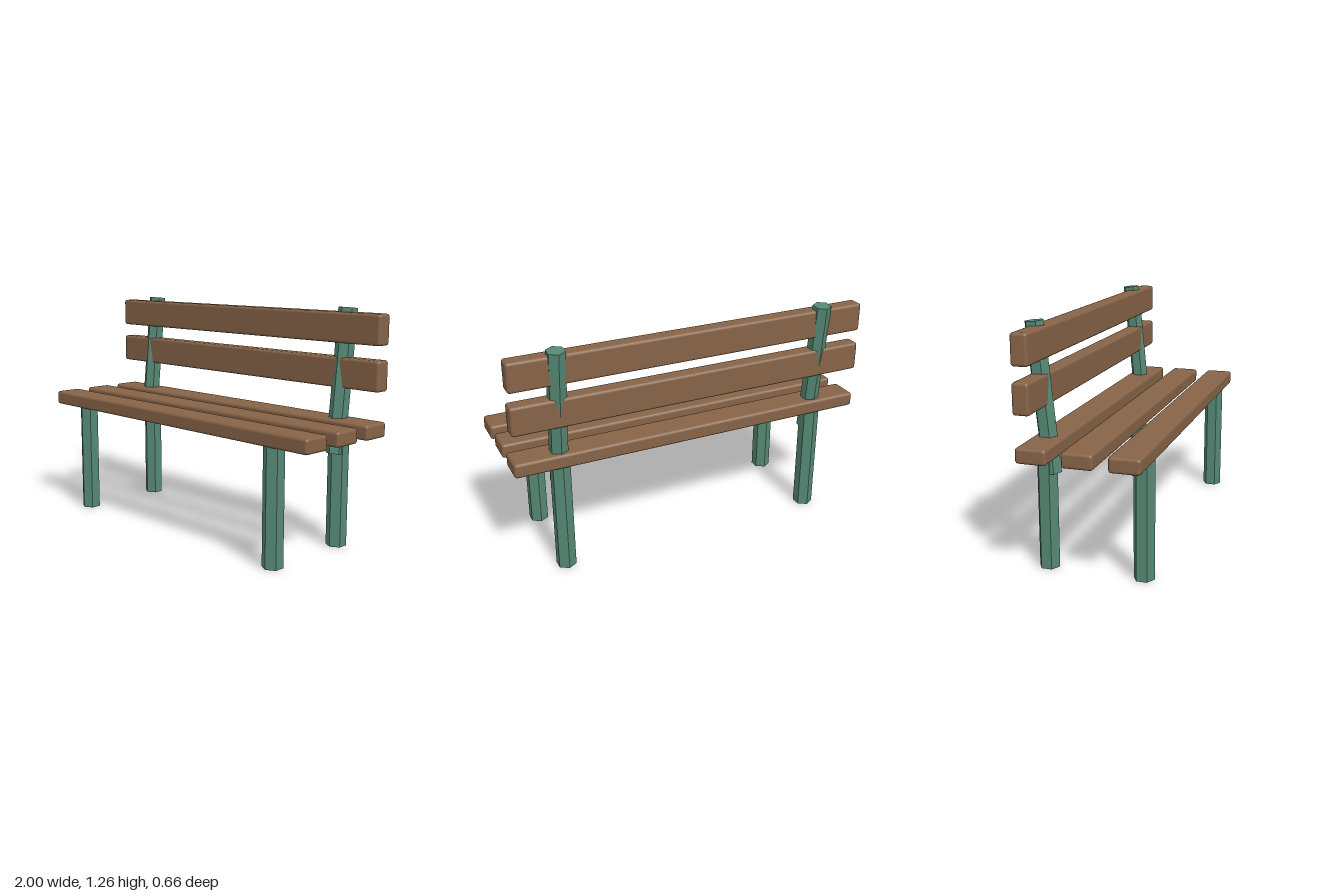
import * as THREE from 'three';
import { RoundedBoxGeometry } from 'three/addons/geometries/RoundedBoxGeometry.js';

export function createModel() {
  const bench = new THREE.Group();
  bench.name = 'bench';
  const wood = new THREE.MeshStandardMaterial({ color: 0x866347 });
  wood.name = 'brown wood';
  const metal = new THREE.MeshStandardMaterial({ color: 0x558874, flatShading: true });
  metal.name = 'green metal';

  const add = (name, geometry, material, x, y, z) => {
    const mesh = new THREE.Mesh(geometry, material);
    mesh.name = name;
    mesh.position.set(x, y, z);
    bench.add(mesh);
    return mesh;
  };

  // Three seat slats
  const seatSlat = new RoundedBoxGeometry(2, 0.078, 0.157, 2, 0.015);
  for (const z of [0.251, 0.021, -0.209]) add('seatSlat', seatSlat, wood, 0, 0.651, z);

  // Two upright back slats
  const backSlat = new RoundedBoxGeometry(2, 0.157, 0.086, 2, 0.015);
  for (const y of [0.923, 1.153]) add('backSlat', backSlat, wood, 0, y, -0.249);

  // Hexagonal legs and tilted back posts, mirrored left and right
  const leg = new THREE.CylinderGeometry(0.0545, 0.0545, 0.63, 6);
  const post = new THREE.CylinderGeometry(0.05, 0.05, 0.754, 6);
  for (const [side, x] of [['left', 0.75], ['right', -0.75]]) {
    add(side + 'FrontLeg', leg, metal, x, 0.315, 0.272);
    add(side + 'BackLeg', leg, metal, x, 0.315, -0.229);
    add(side + 'BackPost', post, metal, x, 0.877, -0.24).rotation.x = -0.1;
  }
  return bench;
}
